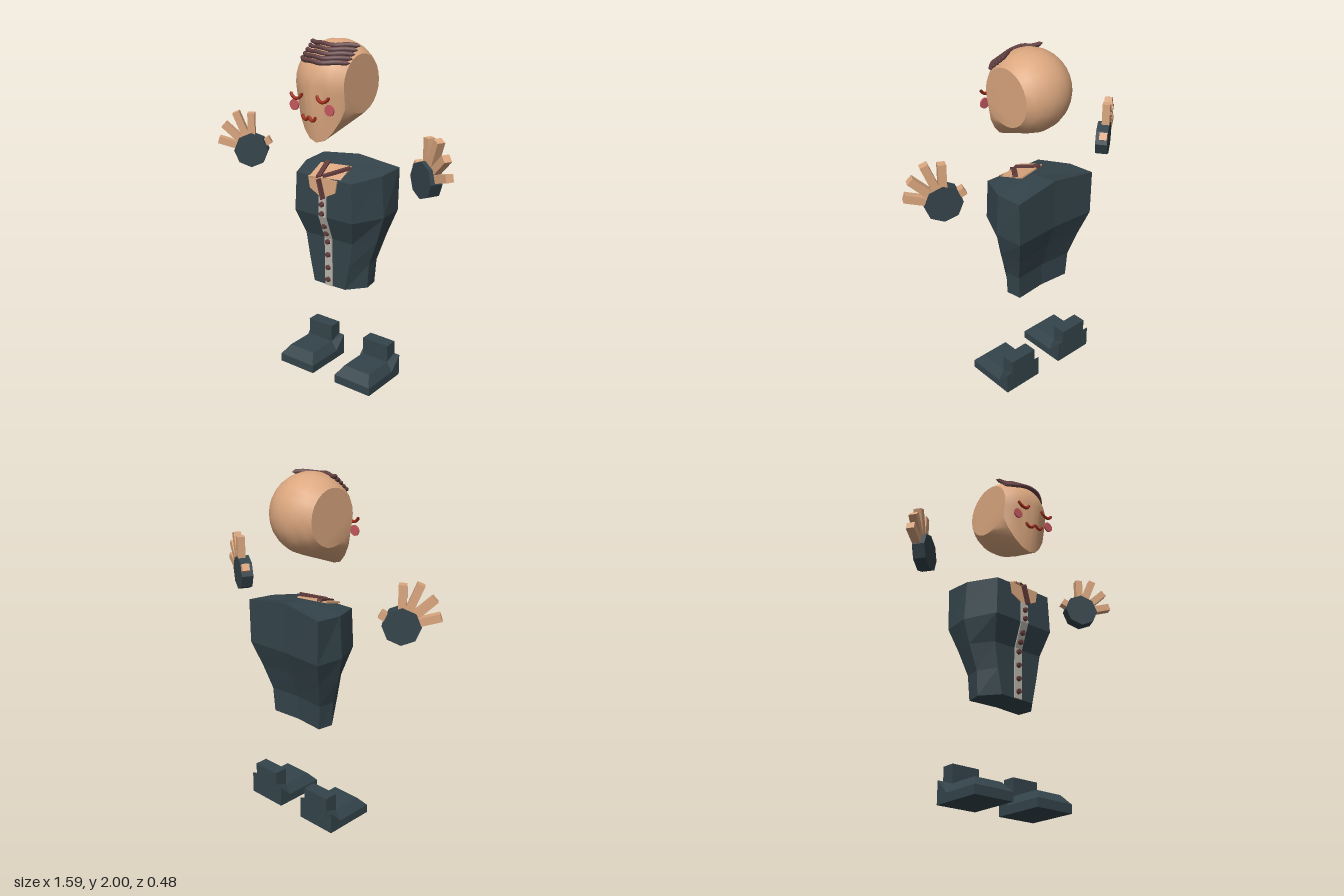
import * as THREE from 'three';
import { toCreasedNormals } from 'three/addons/utils/BufferGeometryUtils.js';
import { ConvexGeometry } from 'three/addons/geometries/ConvexGeometry.js';

const V = (x, y, z) => new THREE.Vector3(x, y, z);

function material(name, color, flatShading = false) {
  const m = new THREE.MeshStandardMaterial({ color, flatShading });
  m.name = name;
  return m;
}

// Closed solid through cross-sections, each a loop of Vector3 with equal length.
function loft(rings, bottomCenter, topCenter) {
  const pos = [];
  const tri = (...pts) => pts.forEach((p) => pos.push(p.x, p.y, p.z));
  const n = rings[0].length, last = rings[rings.length - 1];
  for (let i = 0; i < n; i++) {
    const j = (i + 1) % n;
    for (let k = 0; k + 1 < rings.length; k++) {
      const a = rings[k], b = rings[k + 1];
      tri(a[i], a[j], b[j]);
      tri(a[i], b[j], b[i]);
    }
    tri(last[i], last[j], topCenter);
    tri(rings[0][j], rings[0][i], bottomCenter);
  }
  const g = new THREE.BufferGeometry();
  g.setAttribute('position', new THREE.Float32BufferAttribute(pos, 3));
  g.computeVertexNormals();
  return g;
}

export function createModel() {
  const model = new THREE.Group();
  model.name = 'figure';
  const cloth = material('dark cloth', 0x34444b, true);
  const skin = material('skin', 0xdba77f);
  const hairMat = material('hair brown', 0x664345);
  const trim = material('tie maroon', 0x633c3c);
  const red = material('feature red', 0xa5301c);
  const pink = material('cheek pink', 0xc75a60);
  const shirtMat = material('shirt grey', 0xb9b5ac);

  const add = (parent, name, geo, mat) => {
    const m = new THREE.Mesh(geo, mat);
    m.name = name;
    parent.add(m);
    return m;
  };
  const tube = (parent, name, pts, r, mat) => add(parent, name, loftCap(pts, r), mat);
  // Tube with ball ends pulled closed by capping points
  function loftCap(pts, r) {
    const curve = new THREE.CatmullRomCurve3(pts.map((p) => V(...p)));
    const g = new THREE.TubeGeometry(curve, 16, r, 6);
    const p = g.attributes.position, per = 7;
    const first = curve.getPoint(0), end = curve.getPoint(1);
    for (let i = 0; i < per; i++) {
      p.setXYZ(i, first.x, first.y, first.z);
      p.setXYZ(p.count - 1 - i, end.x, end.y, end.z);
    }
    return g;
  }
  // Straight bar between two points
  const bar = (parent, name, a, b, w, t, mat) => {
    const A = V(...a), B = V(...b);
    const m = add(parent, name, new THREE.BoxGeometry(w, t, A.distanceTo(B)), mat);
    m.position.copy(A).add(B).multiplyScalar(0.5);
    m.lookAt(B);
    return m;
  };

  const body = new THREE.Group();
  body.name = 'body';
  body.position.x = 0.016;
  model.add(body);

  // Head: ball with flattened sides, drawn down to a chin
  const R = 0.225, headY = 1.775, headZ = -0.02, pts = [];
  for (let i = 0; i <= 10; i++) {
    const x = -0.16 + 0.032 * i, r = Math.sqrt(R * R - x * x);
    for (let j = 0; j < 24; j++) {
      const a = (j / 24) * Math.PI * 2;
      pts.push(V(x, headY + r * Math.sin(a), headZ + r * Math.cos(a)));
    }
  }
  for (const [x, y, z] of [[0, 1.467, 0.167], [0.05, 1.483, 0.162], [0.095, 1.53, 0.15], [0.135, 1.595, 0.135], [0.157, 1.66, 0.12]])
    pts.push(V(x, y, z), V(-x, y, z));
  add(body, 'head', toCreasedNormals(new ConvexGeometry(pts), 0.45), skin);

  // Combed hair strands
  for (let k = 0; k < 5; k++) {
    const y = 1.9 + 0.0195 * k, z = 0.18 - 0.026 * k;
    tube(body, 'hairStrand', [
      [-0.145, y + 0.006, 0.1 - 0.017 * k], [-0.09, y - 0.002, z - 0.028], [-0.03, y + 0.004, z - 0.003],
      [0.04, y - 0.002, z], [0.11, y + 0.003, z - 0.04], [0.167, y - 0.003, 0.09 - 0.022 * k],
    ], 0.013, hairMat);
  }

  // Closed eyes, cheeks and mouth
  for (const s of [-1, 1]) {
    tube(body, s > 0 ? 'leftEye' : 'rightEye', [
      [s * 0.046, 1.74, 0.222], [s * 0.065, 1.714, 0.226], [s * 0.09, 1.706, 0.226],
      [s * 0.115, 1.718, 0.224], [s * 0.13, 1.738, 0.22],
    ], 0.009, red);
    const cheek = add(body, 'cheek', new THREE.CylinderGeometry(0.03, 0.03, 0.009, 14), pink);
    cheek.rotation.x = Math.PI / 2;
    cheek.position.set(s * 0.118, 1.665, 0.204);
  }
  tube(body, 'mouth', [
    [-0.062, 1.628, 0.208], [-0.048, 1.605, 0.212], [-0.025, 1.6, 0.217], [-0.004, 1.618, 0.223],
    [0.02, 1.6, 0.228], [0.036, 1.606, 0.23], [0.046, 1.628, 0.227],
  ], 0.009, red);

  // Jacket: y, front half width, front z, side half width, side z, back half width, back z
  const rings = [
    [0.59, 0.11, 0.055, 0.195, -0.05, 0.18, -0.14],
    [0.735, 0.14, 0.057, 0.203, -0.05, 0.19, -0.145],
    [0.885, 0.165, 0.06, 0.25, -0.06, 0.225, -0.19],
    [1.03, 0.2, 0.115, 0.285, -0.07, 0.265, -0.24],
    [1.255, 0.19, 0.11, 0.268, -0.07, 0.27, -0.24],
  ].map(([y, fw, fz, sw, sz, bw, bz], i) => {
    const up = i === 4 ? 1 : 0;
    return [
      V(-fw, y, fz), V(fw, y, fz), V(sw, y + 0.015 * up, sz), V(bw, y + 0.027 * up, bz),
      V(0, y + 0.063 * up, bz + 0.015), V(-bw, y + 0.027 * up, bz), V(-sw, y + 0.015 * up, sz),
    ];
  });
  add(body, 'jacket', loft(rings, V(0, 0.59, -0.04), V(0, 1.295, -0.06)), cloth);

  // Open neck: front and top skin plates
  const neck = new THREE.Shape([[-0.1, 1.255], [-0.088, 1.185], [0, 1.14], [0.088, 1.185], [0.1, 1.255]]
    .map(([x, y]) => new THREE.Vector2(x, y)));
  add(body, 'chestSkin', new THREE.ExtrudeGeometry(neck, { depth: 0.009, bevelEnabled: false }), skin).position.z = 0.11;
  bar(body, 'neckSkin', [0, 1.255, 0.116], [0, 1.296, -0.03], 0.19, 0.009, skin);

  // Tie and its neck band
  bar(body, 'tie', [0, 1.14, 0.122], [0, 1.255, 0.122], 0.054, 0.012, trim);
  for (const s of [-1, 1]) bar(body, 'neckBand', [s * 0.085, 1.303, -0.02], [s * 0.008, 1.262, 0.118], 0.028, 0.016, trim);

  // Shirt strip following the jacket front, with buttons
  const front = [[0.59, 0.055], [0.735, 0.057], [0.885, 0.06], [1.03, 0.115], [1.15, 0.113]];
  const edge = front.map(([y, z]) => new THREE.Vector2(z + 0.008, y));
  const inner = front.map(([y, z]) => new THREE.Vector2(z - 0.001, y)).reverse();
  const strip = new THREE.ExtrudeGeometry(new THREE.Shape([...edge, ...inner]), { depth: 0.05, bevelEnabled: false });
  strip.rotateY(-Math.PI / 2).translate(0.025, 0, 0);
  add(body, 'shirtStrip', strip, shirtMat);
  for (const y of [1.105, 1.05, 0.97, 0.92, 0.865, 0.785, 0.705, 0.63]) {
    const i = front.findIndex((p) => p[0] > y);
    const [a, b] = [front[i - 1], front[i]];
    const z = a[1] + ((b[1] - a[1]) * (y - a[0])) / (b[0] - a[0]);
    const button = add(body, 'button', new THREE.CylinderGeometry(0.013, 0.018, 0.018, 6), trim);
    button.rotation.x = Math.PI / 2;
    button.position.set(0, y, z + 0.014);
  }

  // Shoes: z, side height, top height, top half width
  const shoeRings = [[-0.197, 0.13, 0.131, 0.088], [-0.12, 0.05, 0.105, 0.088], [0.065, 0.05, 0.105, 0.088], [0.115, 0.05, 0.051, 0.122]]
    .map(([z, ys, yt, wt]) => [
      V(-0.125, 0, z), V(0.125, 0, z), V(0.125, ys, z), V(wt, yt, z), V(-wt, yt, z), V(-0.125, ys, z),
    ]);
  const shoeGeo = loft(shoeRings, V(0, 0.06, -0.197), V(0, 0.025, 0.115));
  for (const s of [-1, 1]) {
    const foot = new THREE.Group();
    foot.name = s > 0 ? 'leftFoot' : 'rightFoot';
    foot.position.x = 0.016 + s * 0.208;
    add(foot, 'shoe', shoeGeo, cloth);
    add(foot, 'ankle', new THREE.BoxGeometry(0.176, 0.13, 0.08), cloth).position.set(0, 0.145, -0.159);
    model.add(foot);
  }

  // Hands: faceted palm with fingers fanned out, thumb toward the body
  const tips = [[-0.12, 0.065], [-0.002, 0.225], [0.09, 0.228], [0.165, 0.155], [0.2, 0.06]];
  for (const [s, x, y, z, turn] of [[1, 0.605, 1.33, -0.02, -0.46], [-1, -0.615, 1.29, 0.0, 0.62]]) {
    const hand = new THREE.Group();
    hand.name = s > 0 ? 'leftHand' : 'rightHand';
    hand.position.set(x, y, z);
    hand.rotation.y = turn;
    const palm = add(hand, 'palm', new THREE.CylinderGeometry(0.102, 0.102, 0.07, 8), cloth);
    palm.rotation.x = Math.PI / 2;
    palm.position.z = 0.012;
    for (const [tx, ty] of tips) {
      const len = Math.hypot(tx, ty) - 0.03;
      const finger = add(hand, tx < -0.1 ? 'thumb' : 'finger', new THREE.BoxGeometry(0.043, len, 0.045), skin);
      finger.position.set((s * tx) * 0.55, ty * 0.55, 0);
      finger.rotation.z = -Math.atan2(s * tx, ty);
    }
    model.add(hand);
  }
  return model;
}
